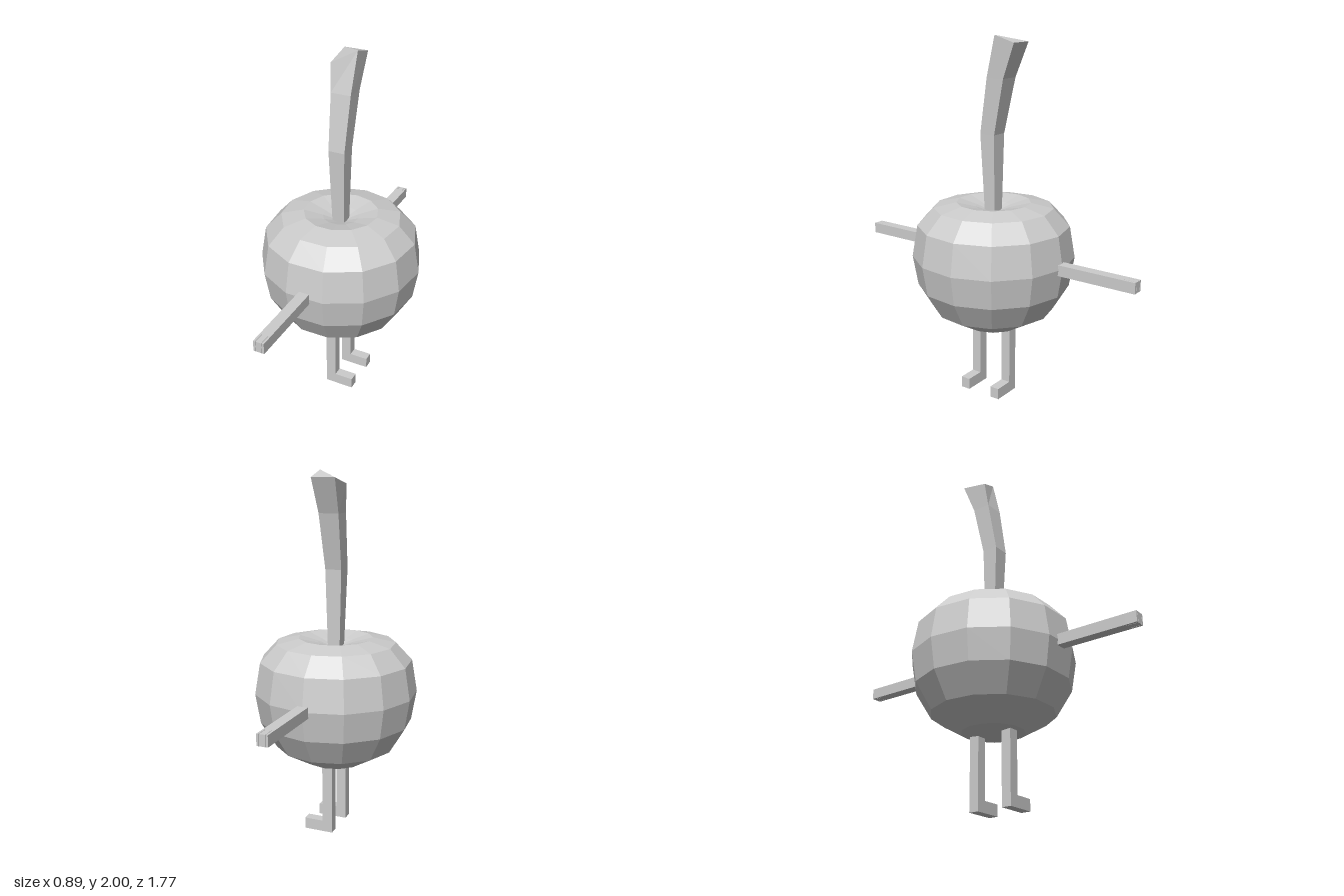
import * as THREE from 'three';

const grey = new THREE.MeshStandardMaterial({ color: 0xcccccc, flatShading: true });

function add(parent, name, geometry, x = 0, y = 0, z = 0) {
  const mesh = new THREE.Mesh(geometry, grey);
  mesh.name = name;
  mesh.position.set(x, y, z);
  parent.add(mesh);
  return mesh;
}

// Thirteen-sided apple with a dimple on top
function bodyGeometry() {
  const profile = [
    [0, 0.384], [0.17, 0.4], [0.335, 0.495], [0.422, 0.64], [0.45, 0.805],
    [0.42, 0.98], [0.33, 1.077], [0.205, 1.105], [0.1, 1.08], [0, 1.045],
  ].map(([r, y]) => new THREE.Vector2(r, y));
  return new THREE.LatheGeometry(profile, 13, Math.PI);
}

// Four-cornered stem skinned through its cross-sections
function stemGeometry() {
  // corners: front left, front right, back right, back left (seen from the front)
  const ring = (y, w, front, back) => [[-w, y, front], [w, y, front], [w, y, back], [-w, y, back]];
  const rings = [
    ring(1.03, 0.034, 0.034, -0.03),
    ring(1.48, 0.046, 0.055, -0.036),
    ring(1.78, 0.056, 0.005, -0.1),
    [[-0.066, 1.93, -0.015], [0.066, 2, -0.053], [0.066, 1.965, -0.173], [-0.066, 1.965, -0.173]],
  ];
  const index = [];
  for (let s = 0; s < rings.length - 1; s++) {
    for (let i = 0; i < 4; i++) {
      const a = s * 4 + i, b = s * 4 + (i + 1) % 4;
      index.push(a, b, b + 4, a, b + 4, a + 4);
    }
  }
  const t = (rings.length - 1) * 4;
  index.push(t, t + 1, t + 3, t + 1, t + 2, t + 3); // slanted top
  index.push(0, 2, 1, 0, 3, 2); // base
  const geometry = new THREE.BufferGeometry();
  geometry.setAttribute('position', new THREE.Float32BufferAttribute(rings.flat(2), 3));
  geometry.setIndex(index);
  const flat = geometry.toNonIndexed();
  flat.computeVertexNormals();
  return flat;
}

// Arm along z, its end slit into three fingers
function makeArm(name, side) {
  const arm = new THREE.Group();
  arm.name = name;
  add(arm, 'armBar', new THREE.BoxGeometry(0.06, 0.06, 0.44), 0, 0.805, side * 0.6);
  for (const i of [-1, 0, 1]) {
    const width = i === 0 ? 0.032 : 0.012;
    add(arm, 'finger', new THREE.BoxGeometry(width, 0.06, 0.065), i * 0.024, 0.805, side * 0.8525);
  }
  return arm;
}

// L-shaped leg with the foot pointing to +x
function legGeometry() {
  const outline = [[-0.03, 0], [0.135, 0], [0.135, 0.063], [0.028, 0.063], [0.028, 0.44], [-0.03, 0.44]];
  const shape = new THREE.Shape(outline.map(([x, y]) => new THREE.Vector2(x, y)));
  return new THREE.ExtrudeGeometry(shape, { depth: 0.055, bevelEnabled: false }).translate(0, 0, -0.0275);
}

export function createModel() {
  const model = new THREE.Group();
  model.name = 'walkingApple';
  add(model, 'body', bodyGeometry());
  add(model, 'stem', stemGeometry());
  for (const [prefix, side] of [['front', 1], ['back', -1]]) {
    model.add(makeArm(prefix + 'Arm', side));
    add(model, prefix + 'Leg', legGeometry(), 0, 0, side * 0.103);
  }
  return model;
}
